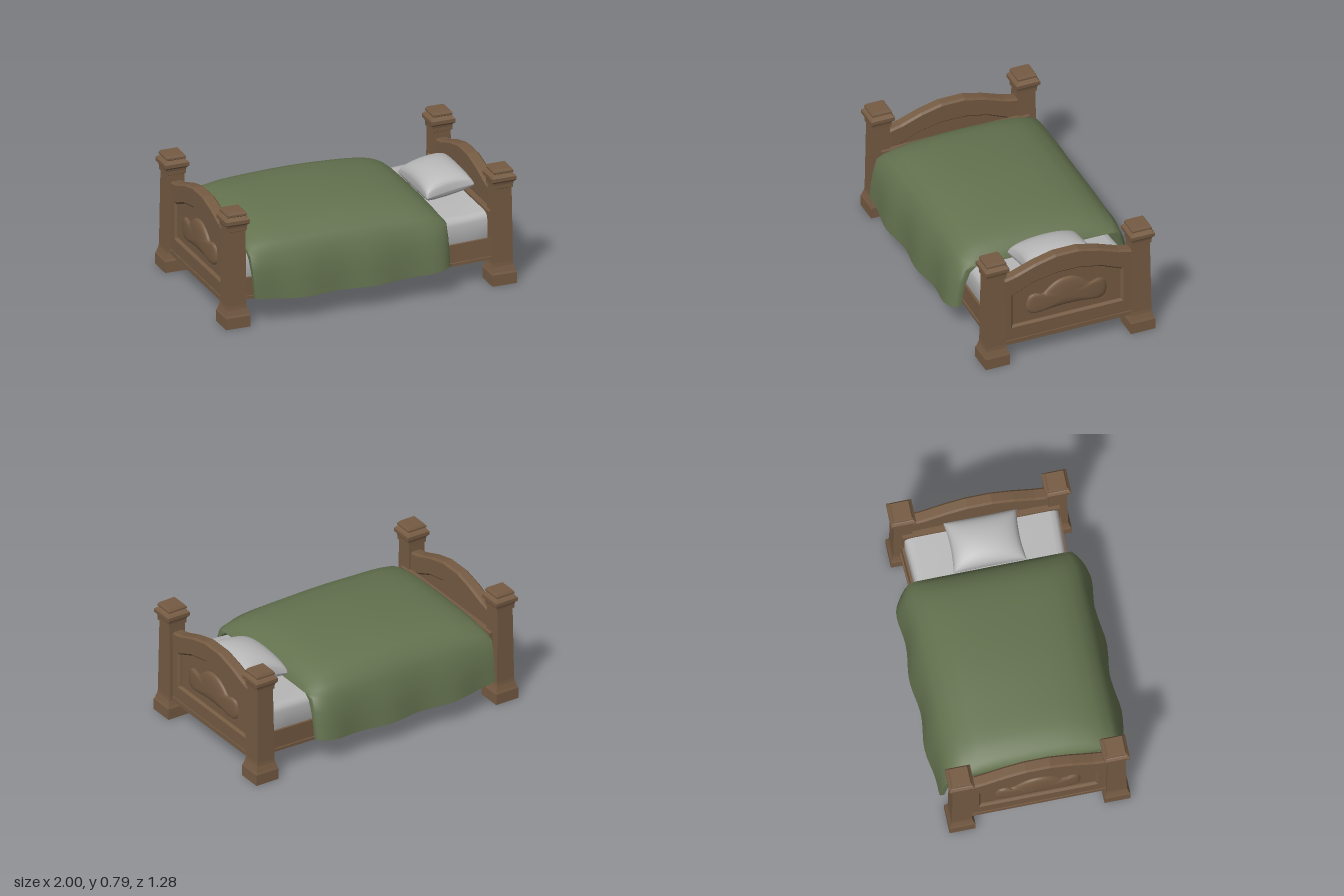
import * as THREE from 'three';
import { mergeVertices, toCreasedNormals } from 'three/addons/utils/BufferGeometryUtils.js';

const wood = new THREE.MeshStandardMaterial({ color: 0x755b43 });
wood.name = 'wood';
const green = new THREE.MeshStandardMaterial({ color: 0x64724f });
green.name = 'greenCloth';
const linen = new THREE.MeshStandardMaterial({ color: 0xb7b7b7 });
linen.name = 'linen';

function add(parent, name, geo, mat, x = 0, y = 0, z = 0) {
  const mesh = new THREE.Mesh(geo, mat);
  mesh.name = name;
  mesh.position.set(x, y, z);
  parent.add(mesh);
  return mesh;
}

// Moves every vertex by a rule, then refreshes the normals
function warp(geo, rule) {
  const p = geo.attributes.position;
  const v = new THREE.Vector3();
  for (let i = 0; i < p.count; i++) {
    rule(v.fromBufferAttribute(p, i));
    p.setXYZ(i, v.x, v.y, v.z);
  }
  geo.computeVertexNormals();
  return geo;
}

// The old bed sags and narrows slightly towards its middle
function sag(geo) {
  return warp(geo, v => {
    const k = Math.max(0, 1 - (v.x / 0.85) ** 2);
    v.y -= 0.03 * k;
    v.z *= 1 - 0.05 * k;
  });
}

function block(x0, x1, y0, y1, z0, z1, segments = 1) {
  return new THREE.BoxGeometry(x1 - x0, y1 - y0, z1 - z0, segments, 1, 1)
    .translate((x0 + x1) / 2, (y0 + y1) / 2, (z0 + z1) / 2);
}

// Symmetric outline in z and y from its right half, listed bottom to top
function mirrored(half) {
  const left = half.map(([z, y]) => [-z, y]).reverse();
  return [...half, ...left].map(([z, y]) => new THREE.Vector2(z, y));
}
const arch = mirrored([[0.47, 0.12], [0.47, 0.607], [0.36, 0.632], [0.22, 0.683], [0.08, 0.717]]);
const opening = mirrored([[0.373, 0.252], [0.373, 0.482], [0.235, 0.541], [0.077, 0.573]]);

// Extrudes a z-y outline along x from x0 to x1
function slab(outline, x0, x1, options = {}) {
  return new THREE.ExtrudeGeometry(outline, { depth: x1 - x0, bevelEnabled: false, ...options })
    .rotateY(Math.PI / 2).translate(x0, 0, 0);
}

// Arched frame around the panel, chamfered along its rim and its opening
function frameGeometry(x0, x1) {
  const shape = new THREE.Shape(arch);
  shape.holes.push(new THREE.Path(opening));
  const c = 0.013;
  return slab(shape, x0, x1, { bevelEnabled: true, bevelSegments: 1, bevelSize: c, bevelThickness: c, bevelOffset: -c });
}

// Square turned post with moulded foot and cap
function postGeometry() {
  const profile = [[0, 0], [0.084, 0], [0.084, 0.075], [0.078, 0.09], [0.068, 0.125], [0.066, 0.14], [0.065, 0.15],
    [0.058, 0.655], [0.066, 0.66], [0.066, 0.685], [0.069, 0.7], [0.082, 0.713], [0.082, 0.737], [0.07, 0.75],
    [0.058, 0.757], [0.067, 0.763], [0.067, 0.775], [0.057, 0.79], [0, 0.79]];
  const points = profile.map(([h, y]) => new THREE.Vector2(h * Math.SQRT2, y));
  const geo = new THREE.LatheGeometry(points, 4, Math.PI / 4).toNonIndexed();
  geo.computeVertexNormals();
  return geo;
}

// Domed carving: one outline shrunk towards its centre in rings
function carvingGeometry() {
  const half = [[0.12, 0.313], [0.235, 0.303], [0.27, 0.33], [0.278, 0.38], [0.258, 0.437], [0.21, 0.45],
    [0.165, 0.436], [0.12, 0.474], [0.06, 0.51]];
  const pts = [[0, 0.318], ...half, [0, 0.52], ...half.map(([z, y]) => [-z, y]).reverse()];
  const curve = new THREE.CatmullRomCurve3(pts.map(([z, y]) => new THREE.Vector3(0, y, z)), true);
  const n = 60, rings = 8, pos = [], index = [];
  for (let r = 0; r <= rings; r++) {
    const a = (r / rings) * Math.PI / 2;
    for (let i = 0; i < n; i++) {
      const p = curve.getPoint(i / n);
      const t = Math.cos(a);
      pos.push(0.031 * Math.sin(a) ** 0.6, 0.385 + (p.y - 0.385) * t, p.z * t);
      if (r === rings) continue;
      const b = r * n + i, c = r * n + (i + 1) % n;
      index.push(b, b + n, c, c, b + n, c + n);
    }
  }
  const geo = new THREE.BufferGeometry();
  geo.setAttribute('position', new THREE.Float32BufferAttribute(pos, 3));
  geo.setIndex(index);
  geo.computeVertexNormals();
  return geo;
}

function bedEnd(name) {
  const end = new THREE.Group();
  end.name = name;
  add(end, 'archedBoard', slab(new THREE.Shape(arch), 0.89, 0.93), wood);
  add(end, 'outerFrame', frameGeometry(0.92, 0.937), wood);
  add(end, 'innerFrame', frameGeometry(0.883, 0.9), wood);
  add(end, 'bottomRail', block(0.86, 0.957, 0.12, 0.15, -0.45, 0.45), wood);
  add(end, 'innerLedge', block(0.832, 0.872, 0.17, 0.49, -0.51, 0.51), wood);
  add(end, 'carving', carvingGeometry(), wood, 0.929);
  for (const s of [-1, 1]) add(end, 'post', postGeometry(), wood, 0.915, 0, s * 0.502);
  return end;
}

// Draped sheet: a closed inner and outer section swept along x
function blanketGeometry() {
  const half = [[0.626, 0.163], [0.614, 0.27], [0.598, 0.36], [0.567, 0.46], [0.525, 0.535], [0.45, 0.59],
    [0.35, 0.625], [0.2, 0.645]];
  const outer = [...half, [0, 0.652], ...half.map(([z, y]) => [-z, y]).reverse()];
  const inner = outer.map(([z, y]) => [z * 0.95, y - 0.03 * Math.min(1, (y - 0.163) / 0.3)]).reverse();
  const section = [...outer, ...inner];
  const crown = new THREE.CatmullRomCurve3([[-0.822, 0.48], [-0.818, 0.52], [-0.785, 0.56], [-0.73, 0.59], [-0.64, 0.617],
    [-0.42, 0.64], [-0.15, 0.652], [0.1, 0.643], [0.3, 0.622], [0.4, 0.597], [0.46, 0.567], [0.51, 0.525], [0.54, 0.475]]
    .map(([x, y]) => new THREE.Vector3(x, y, 0)));
  const n = section.length, m = outer.length, rows = 48, pos = [], index = [];
  for (let r = 0; r <= rows; r++) {
    const { x, y: h } = crown.getPoint(r / rows);
    const d = Math.abs(x + 0.14) / 0.68;
    section.forEach(([z, y], i) => {
      const low = THREE.MathUtils.clamp((0.5 - y) / 0.33, 0, 1);
      const wave = 0.013 * Math.cos(x * 13.2) * low - (x > 0 ? 0.045 : 0.015) * d ** 12;
      const top = y > 0.47 ? 0.47 + (y - 0.47) * (h - 0.47) / 0.182 : y;
      const inset = x < 0 ? 0.016 * low * d : 0;
      pos.push(x + inset, top + 0.03 * d ** 4 * low, z + Math.sign(z) * wave);
      if (r === rows) return;
      const a = r * n + i, b = r * n + (i + 1) % n;
      index.push(a, a + n, b, b, a + n, b + n);
    });
  }
  // Close the thin edge at both ends
  const last = rows * n;
  for (let i = 0; i < m - 1; i++) {
    const a = i, b = i + 1, c = n - 1 - i, e = n - 2 - i;
    index.push(a, b, c, b, e, c);
    index.push(last + a, last + c, last + b, last + b, last + c, last + e);
  }
  const geo = new THREE.BufferGeometry();
  geo.setAttribute('position', new THREE.Float32BufferAttribute(pos, 3));
  geo.setIndex(index);
  return toCreasedNormals(geo, 1.1);
}

// Pillow: flat below, plump above, pinched edges and pointed corners
function pillowGeometry() {
  let geo = new THREE.BoxGeometry(2, 2, 2, 18, 1, 18);
  geo.deleteAttribute('uv');
  geo.deleteAttribute('normal');
  geo = mergeVertices(geo);
  return warp(geo, v => {
    const u = Math.sin(v.x * Math.PI / 2), w = Math.sin(v.z * Math.PI / 2);
    const plump = Math.max(0, (1 - u * u) * (1 - w * w)) ** 0.32;
    const height = v.y > 0 ? 0.118 : -0.066;
    v.set(u * 0.165 * (1 - 0.03 * (1 - w * w)), height * plump, w * 0.237 * (1 - 0.06 * (1 - u * u)));
  });
}

// Mattress cross-section with rounded corners
function mattressGeometry() {
  const half = [[0.46, 0.26], [0.49, 0.265], [0.5, 0.28], [0.5, 0.43], [0.493, 0.455], [0.475, 0.47], [0.44, 0.477]];
  return toCreasedNormals(sag(slab(new THREE.Shape(mirrored(half)), -0.84, 0.84, { steps: 12 })), 0.8);
}

export function createModel() {
  const bed = new THREE.Group();
  bed.name = 'bed';

  bed.add(bedEnd('headboard'));
  const foot = bedEnd('footboard');
  foot.rotation.y = Math.PI;
  bed.add(foot);

  // Side rails with a wider lip along the bottom
  for (const s of [-1, 1]) {
    const z = (a, b) => s > 0 ? [a, b] : [-b, -a];
    add(bed, 'sideRail', sag(block(-0.87, 0.87, 0.175, 0.308, ...z(0.475, 0.516), 16)), wood);
    add(bed, 'railLip', sag(block(-0.87, 0.87, 0.165, 0.185, ...z(0.46, 0.526), 16)), wood);
  }

  // Cross slats under the mattress
  for (const x of [-0.42, 0, 0.42]) {
    add(bed, 'slat', sag(block(x - 0.055, x + 0.055, 0.19, 0.265, -0.49, 0.49)), wood);
  }

  add(bed, 'mattress', mattressGeometry(), linen);
  const pillow = add(bed, 'pillow', pillowGeometry(), linen, 0.692, 0.54, -0.005);
  pillow.rotation.z = 0.16;
  add(bed, 'blanket', blanketGeometry(), green);
  return bed;
}
